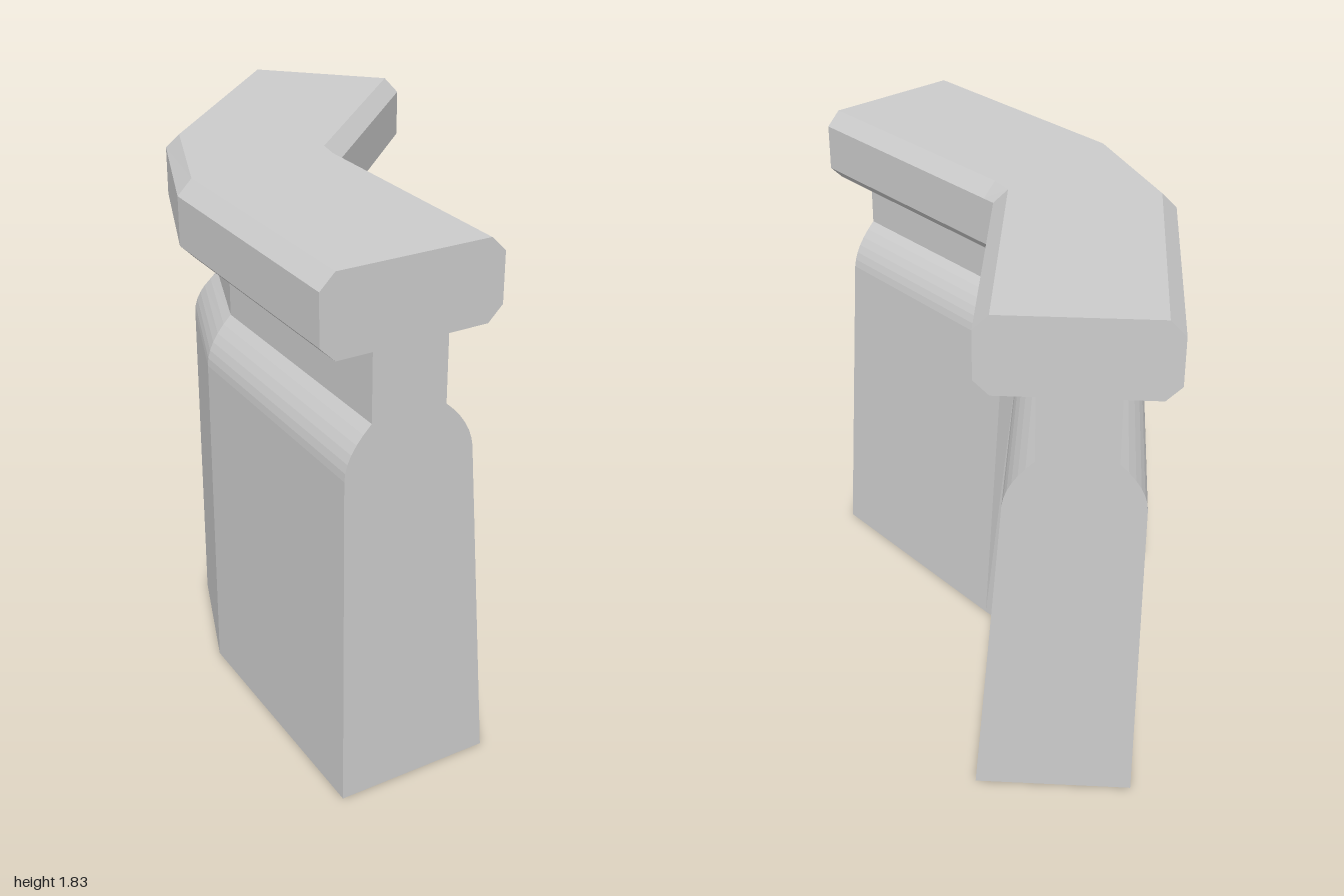
import * as THREE from 'three';

// Cross-section: battered wall, rounded shoulders, narrow neck, chamfered coping
function wallProfile() {
  const s = new THREE.Shape();
  s.moveTo(-0.54, 0);
  s.lineTo(-0.005, 0);
  s.lineTo(-0.095, 1.17);
  s.quadraticCurveTo(-0.105, 1.255, -0.195, 1.335);
  s.lineTo(-0.195, 1.56);
  s.lineTo(-0.06, 1.56);
  s.lineTo(-0.01, 1.61);
  s.lineTo(-0.01, 1.775);
  s.lineTo(-0.06, 1.825);
  s.lineTo(-0.57, 1.825);
  s.lineTo(-0.62, 1.775);
  s.lineTo(-0.62, 1.61);
  s.lineTo(-0.57, 1.56);
  s.lineTo(-0.45, 1.56);
  s.lineTo(-0.45, 1.335);
  s.quadraticCurveTo(-0.54, 1.25, -0.54, 1.17);
  s.closePath();
  return s;
}

// Stations from the back end to the front end: position of the inner edge and turn
const INNER = -0.01;
const stations = [
  { x: 0.619, z: -0.567, turn: Math.PI / 4 },
  { x: -0.01, z: 0.062, turn: Math.PI / 4 },
  { x: -0.01, z: 0.11, turn: 0 },
  { x: -0.01, z: 1, turn: 0 },
];

export function createModel() {
  const group = new THREE.Group();
  group.name = 'bentParapet';

  // Extrude in unit steps, then carry each step to its station along the bend
  const steps = stations.length - 1;
  const geo = new THREE.ExtrudeGeometry(wallProfile(), {
    depth: steps, steps, bevelEnabled: false, curveSegments: 6,
  });
  const pos = geo.attributes.position;
  for (let i = 0; i < pos.count; i++) {
    const st = stations[Math.round(pos.getZ(i))];
    const u = pos.getX(i) - INNER;
    pos.setX(i, st.x + u * Math.cos(st.turn));
    pos.setZ(i, st.z + u * Math.sin(st.turn));
  }
  geo.computeVertexNormals();

  const wall = new THREE.Mesh(
    geo,
    new THREE.MeshStandardMaterial({ color: 0xcccccc, flatShading: true })
  );
  wall.name = 'parapetWall';
  group.add(wall);
  return group;
}
